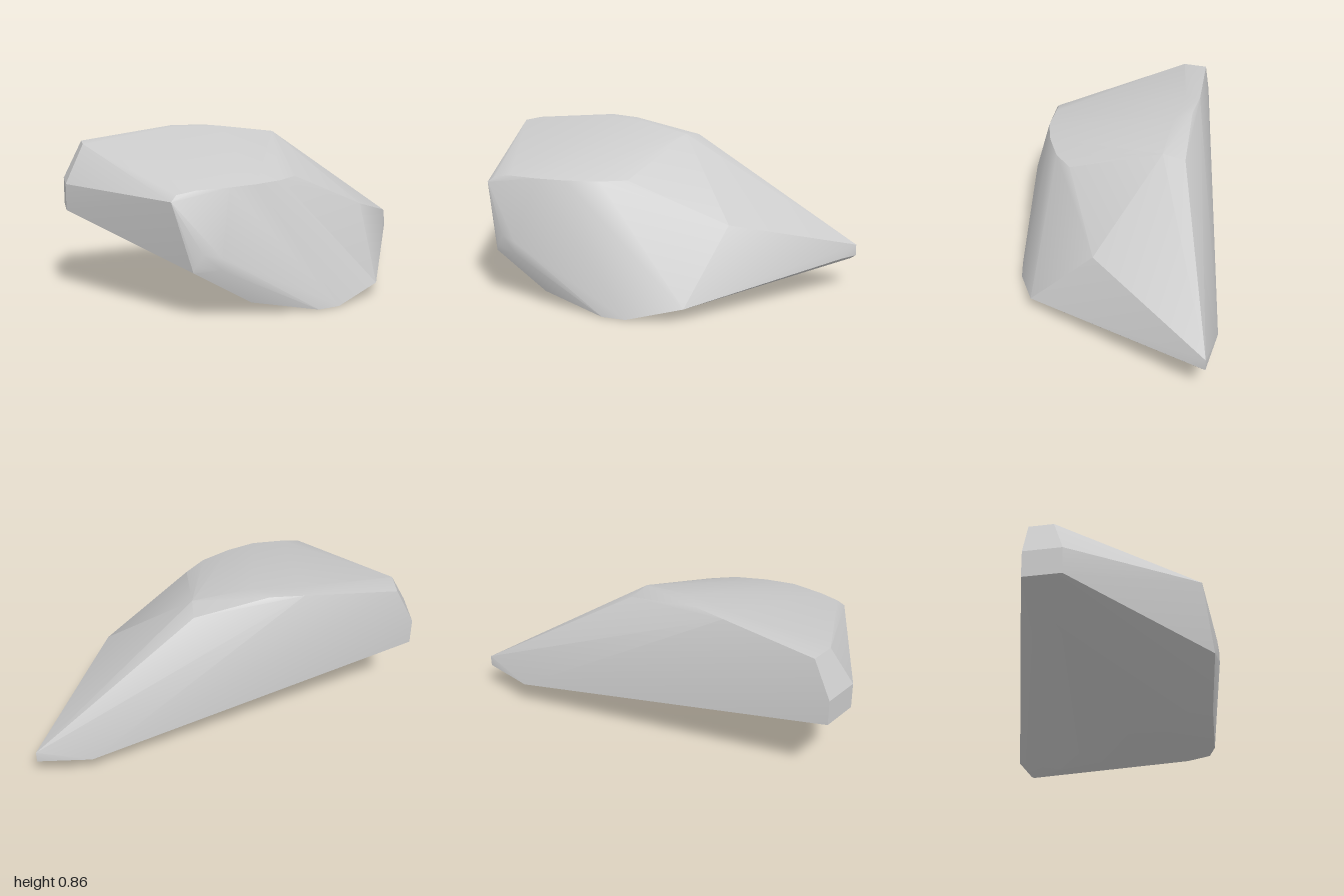
import * as THREE from 'three';
import { ConvexGeometry } from 'three/addons/geometries/ConvexGeometry.js';
import { toCreasedNormals } from 'three/addons/utils/BufferGeometryUtils.js';

// Corner points of the boulder, grouped by region
const crown = [
  [-0.4, 0.86, -0.28], [-0.22, 0.86, -0.28], [-0.4, 0.86, -0.2], [-0.13, 0.86, -0.2],
  [0.17, 0.82, -0.22], [0.17, 0.8, -0.34],
];
const frontRidge = [
  [-0.53, 0.6, 0.61], [-0.5, 0.63, 0.585], [-0.4, 0.645, 0.57], [-0.23, 0.65, 0.55],
  [-0.08, 0.65, 0.49], [0.07, 0.65, 0.4], [0.17, 0.65, 0.29],
];
const frontFace = [
  [-0.43, 0.25, 0.65], [-0.42, 0.28, 0.655], [-0.38, 0.34, 0.66], [-0.29, 0.32, 0.66], [-0.29, 0.26, 0.66],
];
const rightEnd = [
  [-1, 0.6, -0.2], [-1, 0.6, 0], [-1, 0.46, -0.2], [-1, 0.46, 0],
  [-0.9, 0.8, -0.2], [-0.9, 0.8, -0.07],
];
const leftTip = [
  [0.62, 0.43, 0.02], [1, 0.24, -0.66], [1, 0.18, -0.66], [0.98, 0.165, -0.64],
  [0.97, 0.18, -0.55], [0.72, 0.17, -0.66],
];
const underside = [
  [0.23, 0, 0.57], [0.35, 0, 0.53], [0.28, 0, 0.13], [0.6, 0.07, 0.38], [0.6, 0.07, -0.38],
  [-0.13, 0.07, 0.6], [-0.13, 0.07, 0.13], [-0.4, 0.33, -0.26],
];

export function createModel() {
  const group = new THREE.Group();
  group.name = 'rock';
  const points = [crown, frontRidge, frontFace, rightEnd, leftTip, underside]
    .flat().map((p) => new THREE.Vector3(...p));

  // Faceted boulder with soft shallow edges and crisp steep ones
  const geometry = toCreasedNormals(new ConvexGeometry(points), 0.45);
  const boulder = new THREE.Mesh(geometry, new THREE.MeshStandardMaterial({ color: 0xcccccc }));
  boulder.name = 'boulder';
  group.add(boulder);
  return group;
}
